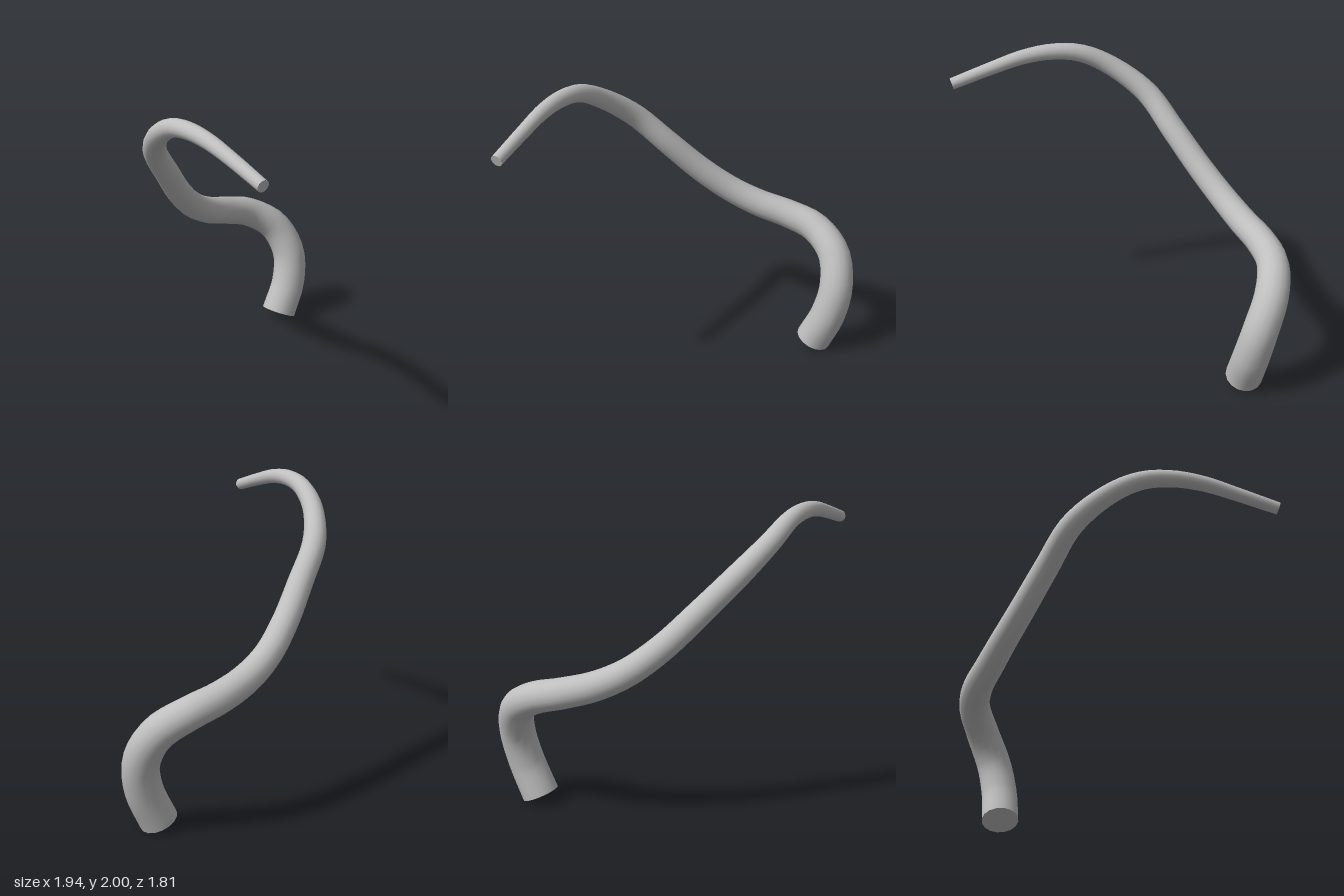
import * as THREE from 'three';

// Centre line and radius along the limb: x, y, z, r
const SPINE = [
  [0.71, 0.055, -0.56, 0.125],
  [0.81, 0.28, -0.555, 0.122],
  [0.848, 0.5, -0.593, 0.118],
  [0.79, 0.7, -0.69, 0.113],
  [0.62, 0.825, -0.785, 0.106],
  [0.42, 0.885, -0.803, 0.101],
  [0.2, 0.95, -0.768, 0.096],
  [0, 1.05, -0.715, 0.091],
  [-0.2, 1.21, -0.63, 0.087],
  [-0.4, 1.42, -0.525, 0.083],
  [-0.6, 1.64, -0.41, 0.078],
  [-0.745, 1.82, -0.2, 0.068],
  [-0.807, 1.92, 0, 0.06],
  [-0.845, 1.945, 0.2, 0.055],
  [-0.873, 1.925, 0.4, 0.05],
  [-0.895, 1.873, 0.6, 0.045],
  [-0.93, 1.785, 0.89, 0.04],
];

export function createModel() {
  const group = new THREE.Group();
  const grey = new THREE.MeshStandardMaterial({ color: 0xbfbfbf });
  grey.name = 'grey';

  const curve = new THREE.CatmullRomCurve3(
    SPINE.map(([x, y, z]) => new THREE.Vector3(x, y, z)), false, 'centripetal');
  const radiusAt = (u) => {
    const t = curve.getUtoTmapping(u) * (SPINE.length - 1);
    const i = Math.min(Math.floor(t), SPINE.length - 2);
    return THREE.MathUtils.lerp(SPINE[i][3], SPINE[i + 1][3], t - i);
  };

  // Tapered tube: scale each ring of a unit-radius tube about its centre
  const rings = 64, sides = 16;
  const tube = new THREE.TubeGeometry(curve, rings, 1, sides, false);
  const pos = tube.attributes.position;
  const v = new THREE.Vector3();
  for (let i = 0; i <= rings; i++) {
    const centre = curve.getPointAt(i / rings);
    const r = radiusAt(i / rings);
    for (let j = 0; j <= sides; j++) {
      const k = i * (sides + 1) + j;
      v.fromBufferAttribute(pos, k).sub(centre).multiplyScalar(r).add(centre);
      pos.setXYZ(k, v.x, v.y, v.z);
    }
  }
  const limb = new THREE.Mesh(tube, grey);
  limb.name = 'limb';
  group.add(limb);

  // Flat caps close both ends
  for (const [name, u, dir] of [['baseCap', 0, -1], ['tipCap', 1, 1]]) {
    const cap = new THREE.Mesh(new THREE.CircleGeometry(radiusAt(u), sides), grey);
    cap.name = name;
    cap.position.copy(curve.getPointAt(u));
    cap.quaternion.setFromUnitVectors(
      new THREE.Vector3(0, 0, 1), curve.getTangentAt(u).multiplyScalar(dir));
    group.add(cap);
  }
  return group;
}
